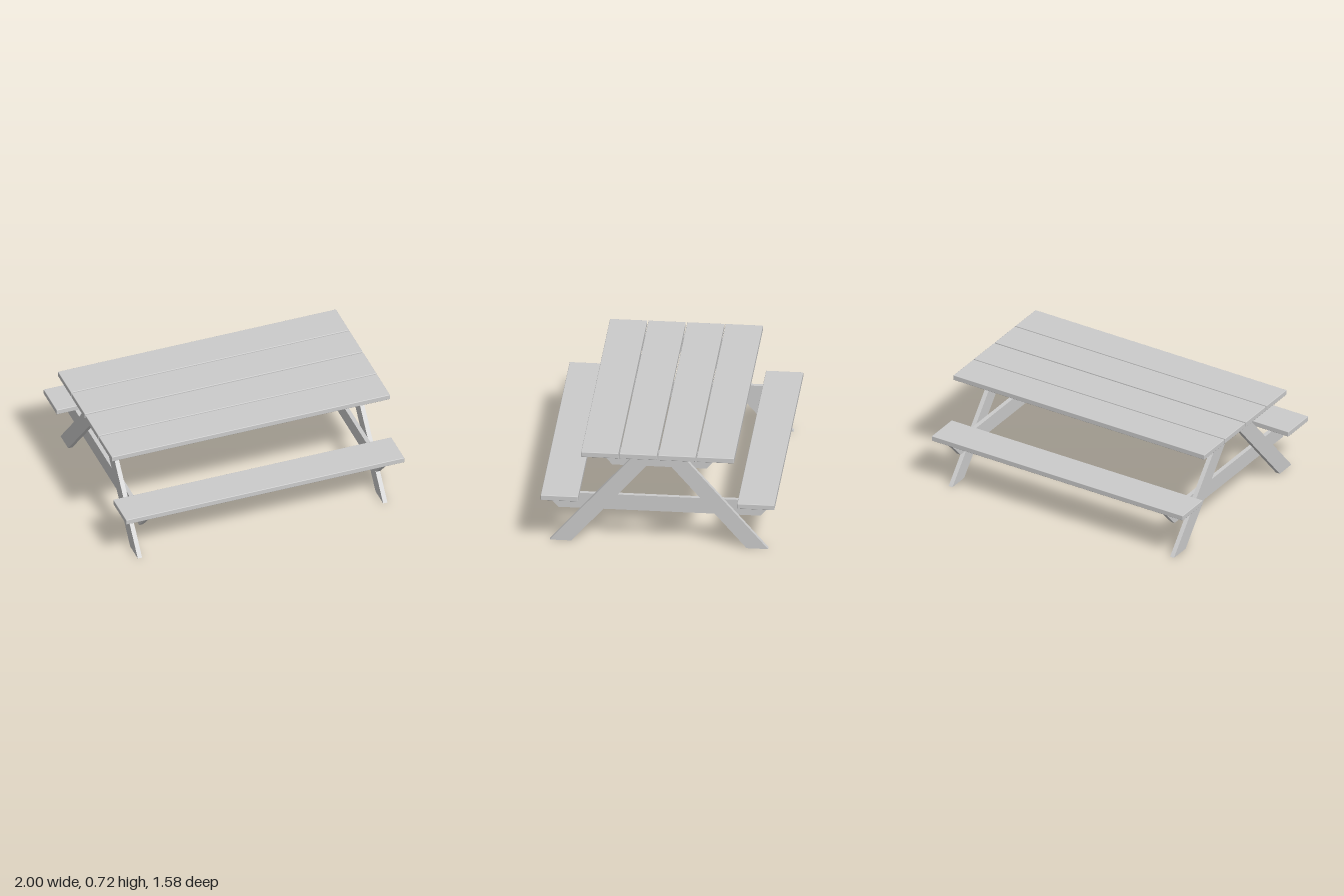
import * as THREE from 'three';
import { RoundedBoxGeometry } from 'three/addons/geometries/RoundedBoxGeometry.js';

const material = new THREE.MeshStandardMaterial({ color: 0xcccccc });

export function createModel() {
  const group = new THREE.Group();

  const add = (name, geometry, x, y, z) => {
    const mesh = new THREE.Mesh(geometry, material);
    mesh.name = name;
    mesh.position.set(x, y, z);
    group.add(mesh);
  };

  // Long board along x with slightly eased edges
  const plank = (name, y, z) =>
    add(name, new RoundedBoxGeometry(2, 0.037, 0.252, 2, 0.004), 0, y, z);

  // Flat timber: side outline of [z, y] corners, given thickness along x
  const timber = (name, corners, x, thickness) => {
    const shape = new THREE.Shape(corners.map(([z, y]) => new THREE.Vector2(-z, y)));
    const geometry = new THREE.ExtrudeGeometry(shape, { depth: thickness, bevelEnabled: false });
    geometry.rotateY(Math.PI / 2).translate(-thickness / 2, 0, 0);
    add(name, geometry, x, 0, 0);
  };

  // Table top and benches
  for (const z of [-0.391, -0.131, 0.131, 0.391]) plank('tabletopPlank', 0.703, z);
  for (const z of [-0.664, 0.664]) plank('benchSeat', 0.364, z);

  for (const side of [-1, 1]) {
    const legX = side * 0.882;
    const beamX = side * 0.852;

    // Splayed pair of legs meeting under the top
    for (const s of [-1, 1]) {
      timber('leg', [[s * 0.738, 0], [s * 0.592, 0], [0, 0.685], [s * 0.147, 0.685]], legX, 0.031);
    }

    // Cross beams with slanted ends, on the inner face of the legs
    timber('tabletopBatten', [[-0.32, 0.571], [0.32, 0.571], [0.414, 0.685], [-0.414, 0.685]], beamX, 0.029);
    timber('benchBeam', [[-0.682, 0.234], [0.682, 0.234], [0.786, 0.346], [-0.786, 0.346]], beamX, 0.029);
  }

  return group;
}
